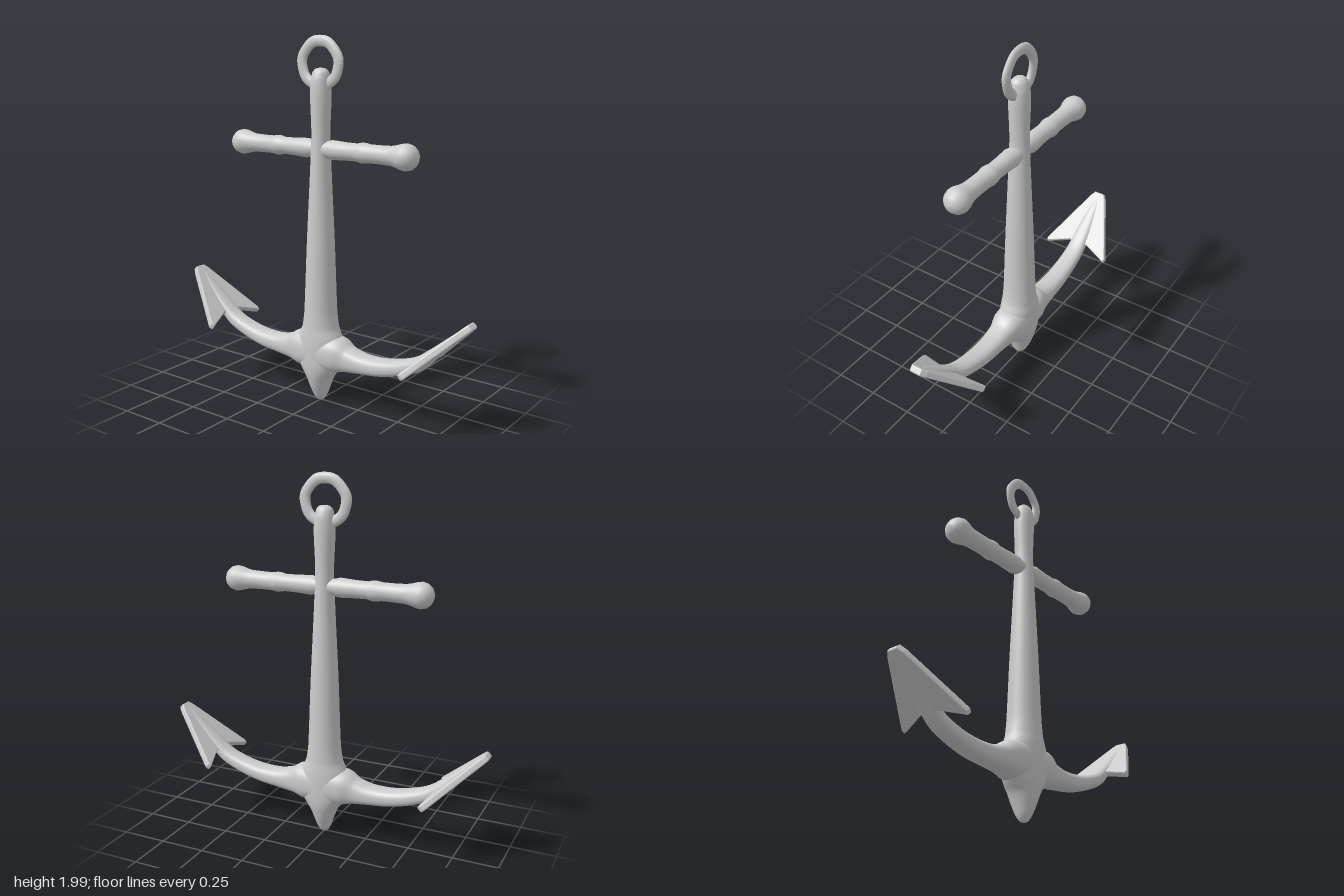
import * as THREE from 'three';

const material = new THREE.MeshStandardMaterial({ color: 0xcccccc, roughness: 0.8 });

// Smooth loft along a path in the xy plane; rows are [x, y, half size in plane, half size in z].
// A power below 1 makes the section squarer.
function loft(rows, steps, power = 1, sides = 28) {
  const path = new THREE.CatmullRomCurve3(rows.map(r => new THREE.Vector3(r[0], r[1], 0)), false, 'centripetal');
  const size = new THREE.CatmullRomCurve3(rows.map(r => new THREE.Vector3(r[2], r[3], 0)), false, 'centripetal');
  const bend = v => Math.sign(v) * Math.abs(v) ** power;
  const pos = [], index = [];
  for (let i = 0; i <= steps; i++) {
    const c = path.getPoint(i / steps), t = path.getTangent(i / steps), s = size.getPoint(i / steps);
    for (let j = 0; j < sides; j++) {
      const a = (j / sides) * Math.PI * 2;
      const n = bend(Math.cos(a)) * s.x;
      pos.push(c.x - t.y * n, c.y + t.x * n, bend(Math.sin(a)) * s.y);
      if (i === steps) continue;
      const k = (j + 1) % sides, p = i * sides, q = p + sides;
      index.push(p + j, p + k, q + j, p + k, q + k, q + j);
    }
  }
  const geo = new THREE.BufferGeometry();
  geo.setAttribute('position', new THREE.Float32BufferAttribute(pos, 3));
  geo.setIndex(index);
  geo.computeVertexNormals();
  return geo;
}

function add(parent, name, geometry) {
  const mesh = new THREE.Mesh(geometry, material);
  mesh.name = name;
  parent.add(mesh);
  return mesh;
}

// Arrow-shaped plate, lying along local +x with its barbs at x = 0
function flukeGeometry() {
  const half = [[0.40, 0.03], [0.37, 0.05], [0.02, 0.206], [0, 0.2], [0.06, 0.06]];
  const outline = [...half, ...half.map(([x, y]) => [x, -y]).reverse()];
  const shape = new THREE.Shape(outline.map(([x, y]) => new THREE.Vector2(x, y)));
  const geo = new THREE.ExtrudeGeometry(shape, {
    depth: 0.02, bevelEnabled: true, bevelThickness: 0.008, bevelSize: 0.006, bevelOffset: -0.006, bevelSegments: 2,
  });
  geo.translate(0, 0, -0.01);
  return geo.rotateX(-Math.PI / 2);
}

export function createModel() {
  const model = new THREE.Group();
  model.name = 'anchor';

  // Tapered shank running down into the pointed crown
  add(model, 'shank', loft([
    [0, 0.008, 0.001, 0.001], [0, 0.014, 0.02, 0.02], [0, 0.04, 0.036, 0.042], [0, 0.1, 0.056, 0.07],
    [0, 0.15, 0.076, 0.086], [0, 0.19, 0.105, 0.095], [0, 0.24, 0.135, 0.1], [0, 0.32, 0.14, 0.102],
    [0, 0.385, 0.128, 0.1], [0, 0.44, 0.103, 0.095], [0, 0.52, 0.09, 0.091], [0, 0.9, 0.075, 0.077],
    [0, 1.35, 0.053, 0.058], [0, 1.5, 0.048, 0.053], [0, 1.7, 0.056, 0.057], [0, 1.77, 0.052, 0.054],
    [0, 1.81, 0.044, 0.042], [0, 1.828, 0.028, 0.025], [0, 1.833, 0.001, 0.001],
  ], 110));

  // Curved arms in one sweep, swelling at the crown and thinning into the flukes
  const arm = [
    [0.12, 0.298, 0.098, 0.092], [0.19, 0.288, 0.07, 0.072], [0.28, 0.283, 0.053, 0.064], [0.4, 0.291, 0.046, 0.06],
    [0.52, 0.32, 0.041, 0.056], [0.62, 0.362, 0.038, 0.053], [0.70, 0.43, 0.03, 0.048],
    [0.80, 0.525, 0.02, 0.034], [0.87, 0.592, 0.012, 0.016], [0.88, 0.601, 0.001, 0.001],
  ];
  const left = arm.map(([x, ...rest]) => [-x, ...rest]).reverse();
  add(model, 'arms', loft([...left, [0, 0.3, 0.1, 0.1], ...arm], 100, 0.8));

  // Flukes
  for (const side of [1, -1]) {
    const holder = new THREE.Group();
    holder.name = side > 0 ? 'leftFluke' : 'rightFluke';
    holder.rotation.y = side > 0 ? 0 : Math.PI;
    const plate = add(holder, 'flukePlate', flukeGeometry());
    plate.position.set(0.622, 0.35, 0);
    plate.rotation.z = Math.atan2(0.262, 0.278);
    model.add(holder);
  }

  // Stock with a worn bead on each side and knobs at the ends
  const half = [
    [0.592, 0.0005], [0.587, 0.024], [0.575, 0.046], [0.555, 0.062], [0.527, 0.069], [0.5, 0.065], [0.475, 0.057],
    [0.44, 0.05], [0.37, 0.048], [0.315, 0.048], [0.285, 0.053], [0.265, 0.053], [0.235, 0.046],
    [0.17, 0.047], [0.08, 0.052], [0.05, 0.044],
  ];
  const profile = [...half.map(([x, r]) => [-x, r]), ...half.slice().reverse()];
  const stock = add(model, 'stock', new THREE.LatheGeometry(
    profile.map(([x, r]) => new THREE.Vector2(r, x)), 28));
  stock.rotation.z = -Math.PI / 2;
  stock.position.set(-0.006, 1.413, 0);

  // Flattened, slightly uneven ring through the shank head
  const ringGeo = new THREE.TorusGeometry(0.115, 0.029, 14, 56);
  const p = ringGeo.attributes.position;
  for (let i = 0; i < p.count; i++) {
    const a = Math.atan2(p.getY(i), p.getX(i));
    const k = 1 + 0.012 * Math.sin(7 * a) + 0.008 * Math.cos(4 * a);
    p.setXYZ(i, p.getX(i) * k, p.getY(i) * k, p.getZ(i) * 0.62);
  }
  ringGeo.computeVertexNormals();
  add(model, 'ring', ringGeo).position.set(-0.005, 1.854, 0);

  return model;
}
